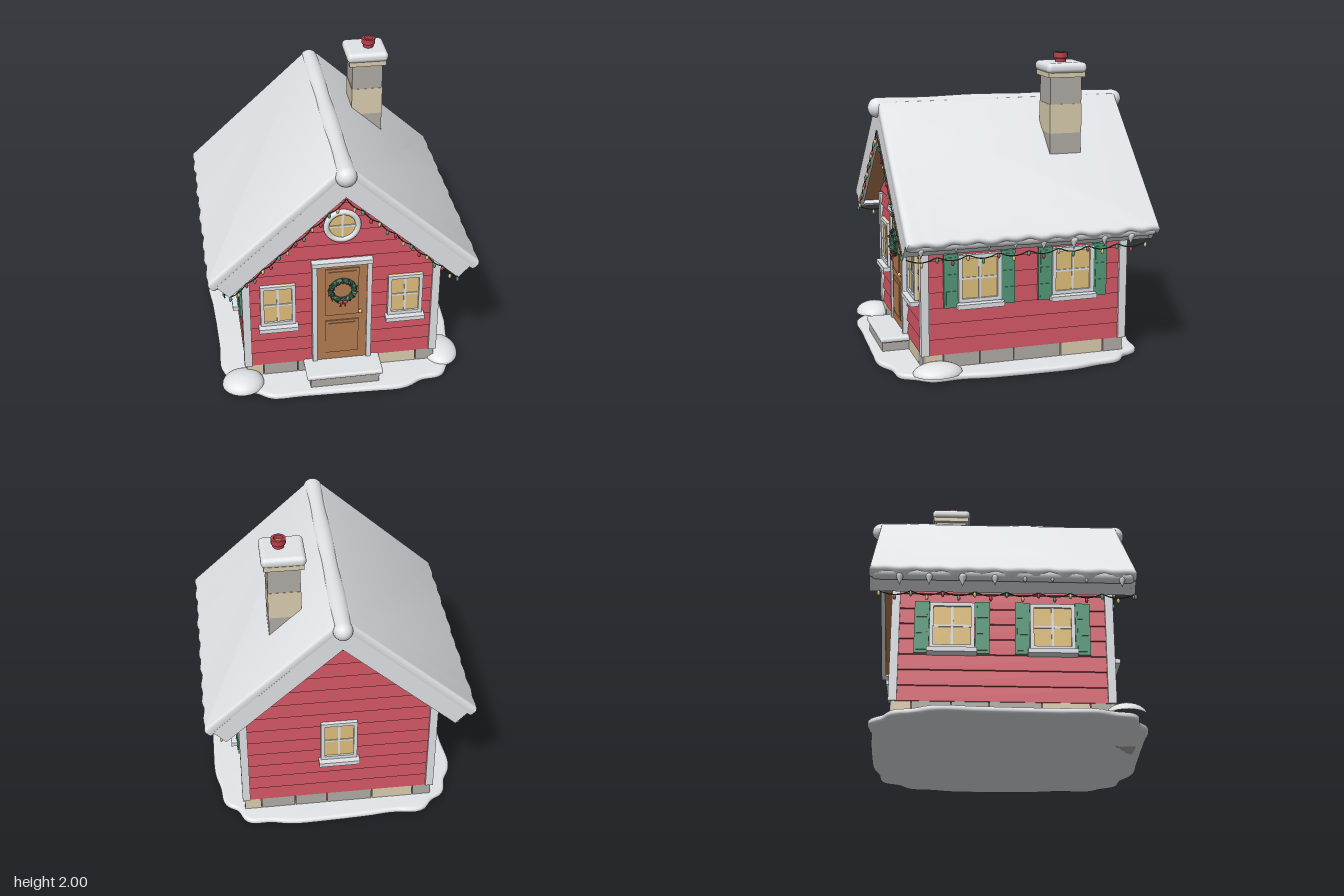
import * as THREE from 'three';
import { toCreasedNormals } from 'three/addons/utils/BufferGeometryUtils.js';
import { RoundedBoxGeometry } from 'three/addons/geometries/RoundedBoxGeometry.js';

const mat = (name, color) => Object.assign(new THREE.MeshStandardMaterial({ color }), { name });
const snow = mat('snow', 0xeef1f4), trim = mat('trim', 0xe3e6ea), siding = mat('siding', 0xcb5360);
const greyStone = mat('greyStone', 0xb2aea9), beigeStone = mat('beigeStone', 0xdccfb0);
const wood = mat('wood', 0xb57d52), glass = mat('glass', 0xe2c27c), green = mat('green', 0x559a79);
const darkGreen = mat('darkGreen', 0x2f6049), berry = mat('berry', 0xb83f4c);

const SLOPE = 0.92, ANGLE = Math.atan(SLOPE), MID = -0.033;   // roof pitch, z centre of house
const FRONT = 0.64, BACK = -0.70, SIDE = 0.63;                // wall planes

function add(parent, name, geo, material, x = 0, y = 0, z = 0) {
  const m = new THREE.Mesh(geo, material);
  m.name = name;
  m.position.set(x, y, z);
  parent.add(m);
  return m;
}
const box = (parent, name, material, w, h, d, x, y, z) =>
  add(parent, name, new THREE.BoxGeometry(w, h, d), material, x, y, z);
function group(parent, name, x = 0, y = 0, z = 0, ry = 0) {
  const g = new THREE.Group();
  g.name = name;
  g.position.set(x, y, z);
  g.rotation.y = ry;
  parent.add(g);
  return g;
}

// Lap siding: each board leans out at its foot; the gable boards narrow upward
function sidingWall(parent, name, x, z, ry, widthAt, top) {
  const g = group(parent, name, x, 0, z, ry), h = 0.103;
  for (let y = 0.13; y < top - 0.02; y += h) {
    const bh = Math.min(h, top - y), geo = new THREE.BoxGeometry(1, bh, 0.02), p = geo.attributes.position;
    for (let i = 0; i < p.count; i++) {
      const up = p.getY(i) > 0;
      p.setX(i, p.getX(i) * widthAt(up ? y + bh : y));
      if (up && p.getZ(i) > 0) p.setZ(i, -0.006);
    }
    geo.computeVertexNormals();
    add(g, 'sidingBoard', geo, siding, 0, y + bh / 2, 0.004);
  }
}

// Window with frame, crossed bars and sill, facing its own +z
function windowUnit(parent, x, z, ry, w, shutters) {
  const g = group(parent, 'window', x, 0.625, z, ry), h = 0.31;
  box(g, 'windowPane', glass, w, h, 0.02, 0, 0, 0.012);
  for (const s of [-1, 1]) {
    box(g, 'windowFrameSide', trim, 0.024, h, 0.04, s * (w / 2 - 0.012), 0, 0.016);
    box(g, 'windowFrameRail', trim, w, 0.024, 0.04, 0, s * (h / 2 - 0.012), 0.016);
    if (shutters) {
      const sx = s * (w / 2 + 0.048);
      box(g, 'shutter', green, 0.092, 0.35, 0.03, sx, -0.01, 0.013);
      for (const y of [-0.11, 0, 0.11]) box(g, 'shutterPanel', green, 0.066, 0.09, 0.008, sx, y - 0.01, 0.03);
    }
  }
  box(g, 'windowBarUpright', trim, 0.014, h, 0.02, 0, 0, 0.018);
  box(g, 'windowBarCross', trim, w, 0.014, 0.02, 0, 0, 0.018);
  box(g, 'windowSill', trim, w + 0.03, 0.03, 0.07, 0, -0.175, 0.035);
}

// Row of alternating foundation stones along a wall
function stoneRow(parent, length, x, z, ry) {
  const g = group(parent, 'foundation', x, 0, z, ry);
  const cuts = [0, 0.09, 0.27, 0.44, 0.68, 0.9, 1];
  const mats = [beigeStone, greyStone, greyStone, greyStone, beigeStone, greyStone];
  for (let i = 0; i < 6; i++) {
    const w = (cuts[i + 1] - cuts[i]) * length;
    box(g, 'foundationStone', mats[i], w - 0.006, 0.13, 0.05, (cuts[i] + cuts[i + 1] - 1) / 2 * length, 0.067, 0);
  }
}

// Sagging wire with coloured bulbs
function lightString(parent, a, b, spans, sag) {
  const pts = [], bulbs = [berry, glass, green], g = group(parent, 'lightString');
  for (let i = 0; i <= spans * 4; i++) {
    const p = a.clone().lerp(b, i / (spans * 4));
    p.y -= sag * Math.sin(Math.PI * (i % 4) / 4);
    pts.push(p);
    if (i % 2 === 0 && i > 0) {
      const m = add(g, 'bulb', new THREE.SphereGeometry(0.011, 8, 6), bulbs[(i / 2) % 3], p.x, p.y - 0.018, p.z);
      m.scale.y = 1.6;
    }
  }
  add(g, 'lightWire', new THREE.TubeGeometry(new THREE.CatmullRomCurve3(pts), spans * 8, 0.004, 5), darkGreen);
}

// One roof slope: x runs down the slope, y is its normal
function roofSide(parent, ry) {
  const pivot = group(parent, 'roofSide', 0, 1.655, MID, ry), g = group(pivot, 'roofSlope');
  g.rotation.z = -ANGLE;
  box(g, 'roofDeck', wood, 1.09, 0.09, 1.6, 0.545, -0.045, 0);
  for (const s of [-1, 1]) box(g, 'bargeBoard', trim, 1.11, 0.12, 0.03, 0.555, -0.06, s * 0.81);
  box(g, 'eaveBoard', trim, 0.03, 0.118, 1.6, 1.094, -0.06, 0);
  const shape = new THREE.Shape().moveTo(0.04, -0.8), n = 60;
  for (let i = 0; i <= n; i++) {
    const z = -0.8 + 1.6 * i / n;
    shape.lineTo(1.118 + 0.007 * Math.sin(z * 38) + 0.004 * Math.sin(z * 17), z);
  }
  shape.lineTo(0.04, 0.8);
  const geo = new THREE.ExtrudeGeometry(shape, { depth: 0.03, bevelThickness: 0.025, bevelSize: 0.025, bevelSegments: 4 });
  geo.rotateX(-Math.PI / 2);
  add(g, 'roofSnow', toCreasedNormals(geo, 0.7), snow);
  const lip = add(g, 'eaveSnowRoll', new THREE.CapsuleGeometry(0.04, 1.56, 6, 12), snow, 1.11, -0.003, 0);
  lip.rotation.x = Math.PI / 2;
}

function ground(parent) {
  const pts = [];
  for (let i = 0; i < 120; i++) {
    const t = i / 120 * Math.PI * 2, c = Math.cos(t), s = Math.sin(t), e = 2 / 4.5;
    const k = 1 + 0.016 * Math.sin(t * 13 + 1) + 0.01 * Math.sin(t * 7);
    pts.push(new THREE.Vector2(Math.sign(c) * Math.abs(c) ** e * 0.795 * k, Math.sign(s) * Math.abs(s) ** e * 0.85 * k - 0.015));
  }
  const geo = new THREE.ExtrudeGeometry(new THREE.Shape(pts), { depth: 0.01, bevelThickness: 0.016, bevelSize: 0.02, bevelSegments: 3 });
  geo.rotateX(-Math.PI / 2).translate(0, 0.016, 0);
  add(parent, 'groundSnow', toCreasedNormals(geo, 0.7), snow);
  for (const [x, z, rx, ry, rz] of [[-0.67, 0.71, 0.14, 0.075, 0.13], [0.7, 0.57, 0.12, 0.065, 0.16]])
    add(parent, 'snowMound', new THREE.SphereGeometry(1, 24, 12, 0, Math.PI * 2, 0, Math.PI / 2), snow, x, 0.035, z).scale.set(rx, ry, rz);
}

function door(parent) {
  const g = group(parent, 'door', 0, 0, FRONT);
  box(g, 'doorLeaf', wood, 0.34, 0.77, 0.04, 0, 0.52, 0.01);
  for (const [y, h] of [[0.695, 0.37], [0.333, 0.265]]) {
    box(g, 'doorPanel', wood, 0.22, h, 0.012, 0, y, 0.032);
    box(g, 'doorPanelCentre', wood, 0.18, h - 0.04, 0.012, 0, y, 0.037);
  }
  for (const s of [-1, 1]) box(g, 'doorPost', trim, 0.032, 0.78, 0.06, s * 0.18, 0.525, 0.012);
  box(g, 'doorHead', trim, 0.4, 0.03, 0.07, 0, 0.923, 0.015);
  add(g, 'doorKnob', new THREE.SphereGeometry(0.013, 12, 8), glass, 0.12, 0.53, 0.045);
  const w = group(g, 'wreath', 0, 0.72, 0.05);
  add(w, 'wreathRing', new THREE.TorusGeometry(0.076, 0.017, 8, 28), darkGreen);
  for (let i = 0; i < 28; i++) {
    const t = i / 28 * Math.PI * 2, r = 0.076 + (i % 2 ? 0.014 : -0.012);
    const leaf = add(w, 'wreathLeaf', new THREE.ConeGeometry(0.011, 0.045, 5), i % 3 ? darkGreen : green, r * Math.cos(t), r * Math.sin(t), 0.01);
    leaf.rotation.z = t + (i % 2 ? -0.6 : 0.6);
    if (i % 4 === 0) add(w, 'wreathBerry', new THREE.SphereGeometry(0.008, 8, 6), berry, 0.078 * Math.cos(t + 0.1), 0.078 * Math.sin(t + 0.1), 0.022);
  }
  for (const s of [-1, 1]) {
    const loop = add(w, 'bowLoop', new THREE.SphereGeometry(0.016, 10, 8), berry, s * 0.016, -0.082, 0.022);
    loop.scale.set(1, 0.7, 0.5);
    box(w, 'bowTail', berry, 0.009, 0.035, 0.008, s * 0.01, -0.102, 0.02).rotation.z = s * 0.4;
  }
  box(g, 'doorStep', greyStone, 0.46, 0.115, 0.18, 0, 0.0575, 0.1);
  add(g, 'doorStepSnow', new RoundedBoxGeometry(0.51, 0.035, 0.21, 3, 0.014), snow, 0, 0.122, 0.098);
}

function chimney(parent) {
  const g = group(parent, 'chimney', 0.315, 0, -0.37);
  [[1.2, 1.48, greyStone], [1.48, 1.67, beigeStone], [1.67, 1.85, greyStone]].forEach(([a, b, m], i) =>
    box(g, 'chimneyBlock', m, 0.205 + (i % 2) * 0.004, b - a, 0.212 + (i % 2) * 0.004, 0, (a + b) / 2, 0));
  box(g, 'chimneyCap', beigeStone, 0.25, 0.035, 0.25, 0, 1.862, 0);
  add(g, 'chimneySnow', new RoundedBoxGeometry(0.278, 0.068, 0.272, 4, 0.03), snow, 0, 1.904, 0);
  const profile = [[0.034, 0], [0.036, 0.04], [0.046, 0.044], [0.046, 0.08], [0.03, 0.08], [0.03, 0.05]].map(p => new THREE.Vector2(...p));
  add(g, 'chimneyPot', toCreasedNormals(new THREE.LatheGeometry(profile, 20), 0.6), berry, 0.02, 1.92, 0.01);
  add(g, 'chimneyPotInside', new THREE.CylinderGeometry(0.031, 0.031, 0.02, 20), wood, 0.02, 1.965, 0.01);
}

export function createModel() {
  const house = new THREE.Group();
  house.name = 'winterCabin';
  ground(house);

  // Wall core and siding
  const gableHalf = y => Math.min(SIDE, (1.555 - y) / SLOPE);
  const core = new THREE.Shape().moveTo(-0.62, 0.03).lineTo(0.62, 0.03).lineTo(0.62, 0.975).lineTo(0, 1.545).lineTo(-0.62, 0.975);
  add(house, 'wallCore', new THREE.ExtrudeGeometry(core, { depth: FRONT - BACK - 0.01, bevelEnabled: false }), siding, 0, 0, BACK + 0.005);
  sidingWall(house, 'frontWall', 0, FRONT, 0, y => 2 * gableHalf(y), 1.53);
  sidingWall(house, 'backWall', 0, BACK, Math.PI, y => 2 * gableHalf(y), 1.53);
  for (const s of [-1, 1]) {
    sidingWall(house, 'sideWall', s * SIDE, MID, s * Math.PI / 2, () => 1.33, 0.95);
    stoneRow(house, 1.34, s * 0.613, MID, s * Math.PI / 2);
    for (const z of [0.637, -0.697]) box(house, 'cornerBoard', trim, 0.052, 0.8, 0.052, s * 0.626, 0.53, z);
    for (const z of [0.28, -0.345]) windowUnit(house, s * SIDE, z, s * Math.PI / 2, 0.28, true);
    windowUnit(house, s * 0.42, FRONT, 0, 0.23, false);
  }
  stoneRow(house, 1.28, 0, 0.625, 0);
  stoneRow(house, 1.28, 0, -0.685, Math.PI);
  windowUnit(house, 0, BACK, Math.PI, 0.24, false);
  door(house);

  // Round gable window
  const round = group(house, 'roundWindow', 0, 1.2, FRONT + 0.012);
  add(round, 'roundPane', new THREE.CylinderGeometry(0.1, 0.1, 0.02, 32).rotateX(Math.PI / 2), glass);
  add(round, 'roundFrame', new THREE.TorusGeometry(0.102, 0.019, 10, 36), trim, 0, 0, 0.008);
  box(round, 'roundBarUpright', trim, 0.014, 0.19, 0.02, 0, 0, 0.006);
  box(round, 'roundBarCross', trim, 0.19, 0.014, 0.02, 0, 0, 0.006);

  // Roof, ridge roll and icicles
  roofSide(house, 0);
  roofSide(house, Math.PI);
  const ridgeGeo = new THREE.CapsuleGeometry(0.064, 1.64, 8, 20, 24), p = ridgeGeo.attributes.position;
  for (let i = 0; i < p.count; i++) {
    const k = 1 + 0.05 * Math.sin(p.getY(i) * 9);
    p.setX(i, p.getX(i) * k);
    p.setZ(i, p.getZ(i) * k);
  }
  ridgeGeo.computeVertexNormals();
  add(house, 'ridgeSnow', ridgeGeo, snow, 0, 1.637, -0.035).rotation.x = Math.PI / 2;
  const drop = [[0, -0.06], [0.008, -0.035], [0.022, -0.005], [0.025, 0.01], [0.016, 0.024], [0, 0.03]].map(q => new THREE.Vector2(...q));
  const dropGeo = new THREE.LatheGeometry(drop, 12);
  for (const s of [-1, 1])
    [[0.7, 0.85], [0.48, 0.5], [0.27, 0.5], [0.1, 0.6], [-0.085, 0.9], [-0.285, 1.1], [-0.49, 0.95], [-0.67, 1]].forEach(([z, k]) =>
      add(house, 'icicle', dropGeo, snow, s * 0.832, 0.872, z).scale.setScalar(k));
  chimney(house);

  // Light strings on the front gable and along both eaves
  for (const s of [-1, 1]) {
    lightString(house, new THREE.Vector3(0, 1.485, 0.797), new THREE.Vector3(s * 0.73, 0.825, 0.797), 7, 0.018);
    lightString(house, new THREE.Vector3(s * 0.765, 0.805, 0.78), new THREE.Vector3(s * 0.765, 0.805, -0.8), 8, 0.025);
  }
  return house;
}
